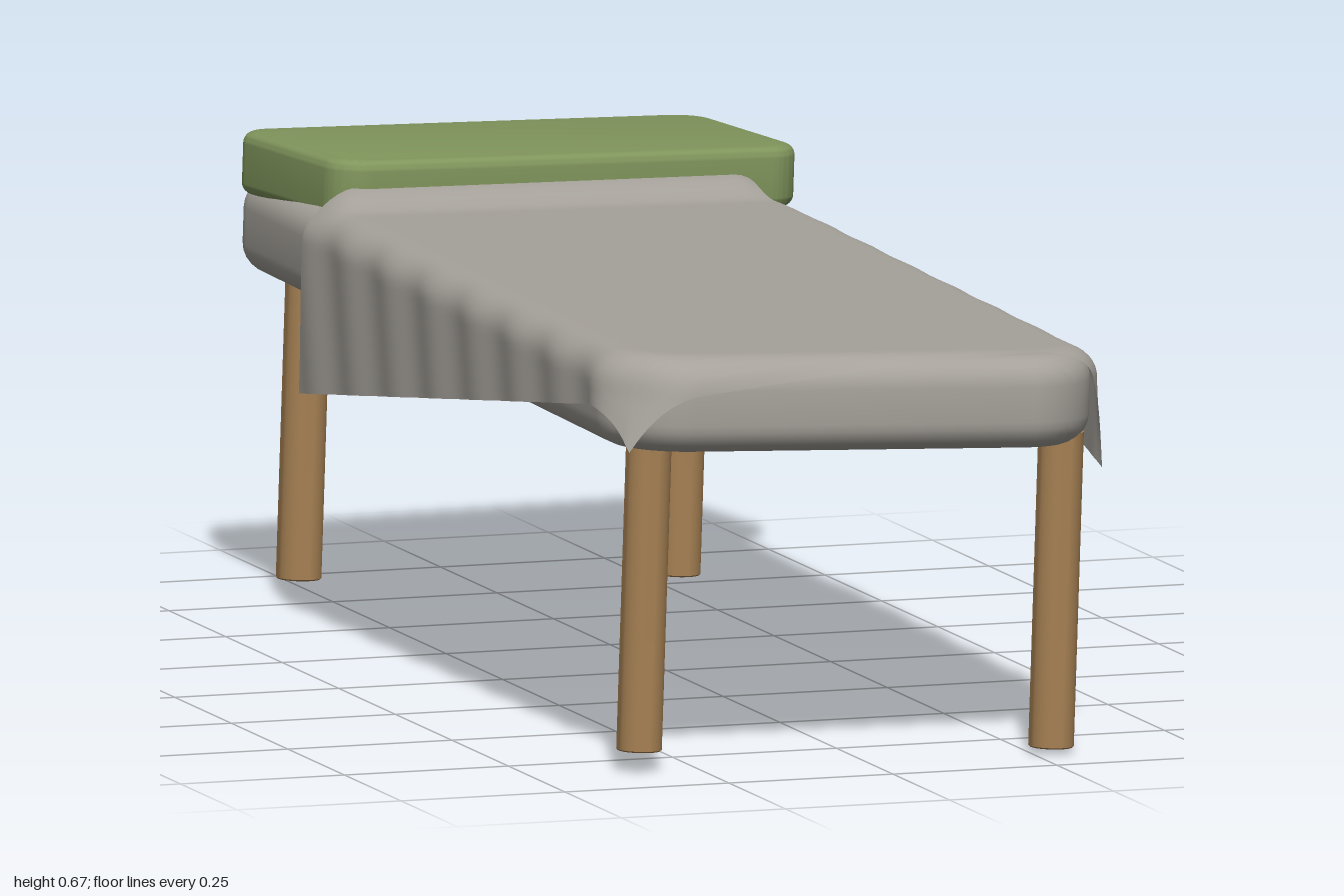
import * as THREE from 'three';
import { toCreasedNormals } from 'three/addons/utils/BufferGeometryUtils.js';

const HALF_X = 0.37, HALF_Z = 0.965, THICK = 0.135, CORNER = 0.12, SOFT = 0.042;
const MATTRESS_Y = 0.511;

const fabric = new THREE.MeshStandardMaterial({ name: 'grey fabric', color: 0xa6a29b, side: THREE.DoubleSide });
const green = new THREE.MeshStandardMaterial({ name: 'pillow green', color: 0x80955c });
const wood = new THREE.MeshStandardMaterial({ name: 'wood', color: 0xa58053 });

// Rounded slab lying flat, centred on the origin, with softened edges
function slab(hx, hz, thick, corner, soft) {
  const x = hx - soft, z = hz - soft, r = corner - soft;
  const s = new THREE.Shape();
  s.absarc(x - r, z - r, r, 0, Math.PI / 2);
  s.absarc(-x + r, z - r, r, Math.PI / 2, Math.PI);
  s.absarc(-x + r, -z + r, r, Math.PI, Math.PI * 1.5);
  s.absarc(x - r, -z + r, r, Math.PI * 1.5, Math.PI * 2);
  const depth = thick - 2 * soft;
  const g = new THREE.ExtrudeGeometry(s, {
    depth, bevelSize: soft, bevelThickness: soft, bevelSegments: 6, curveSegments: 10,
  });
  g.translate(0, 0, -depth / 2).rotateX(-Math.PI / 2);
  return toCreasedNormals(g, 0.7);
}

// Wrap a flat cloth point over the mattress: flat top, rounded edge, then hanging
function drape(px, pz) {
  const cx = THREE.MathUtils.clamp(px, -HALF_X + CORNER, HALF_X - CORNER);
  const cz = THREE.MathUtils.clamp(pz, -HALF_Z + CORNER, HALF_Z - CORNER);
  const dx = px - cx, dz = pz - cz, d = Math.hypot(dx, dz);
  const top = THICK / 2 + 0.006, bend = SOFT + 0.008;
  const start = CORNER + 0.006 - bend, over = d - start;
  if (over <= 0) return [px, top, pz];
  const a = Math.min(over / bend, Math.PI / 2);
  const hang = Math.max(0, over - bend * Math.PI / 2);
  const atCorner = Math.min(Math.abs(dx), Math.abs(dz)) / d;
  const ripple = 0.006 * Math.sin(a) * (0.5 + 0.5 * Math.sin(pz * 31 + px * 17));
  const out = start + bend * Math.sin(a) + hang * (0.06 + 0.35 * atCorner) + ripple;
  return [cx + dx / d * out, top - bend * (1 - Math.cos(a)) - hang, cz + dz / d * out];
}

// Cloth laid askew over the mattress
function sheetGeometry() {
  const width = 0.95, length = 1.55, yaw = 0.135;
  const c = Math.cos(yaw), s = Math.sin(yaw);
  const g = new THREE.PlaneGeometry(1, 1, 80, 110).rotateX(-Math.PI / 2);
  const p = g.attributes.position;
  for (let i = 0; i < p.count; i++) {
    const across = (0.5 - p.getX(i)) * width, along = (p.getZ(i) + 0.5) * length;
    const x = 0.321 - across * c + along * s;
    const z = -0.64 + across * s + along * c;
    const q = drape(x, z);
    // the back edge rides up against the pillow
    const lift = 1 - THREE.MathUtils.smoothstep(along, 0, 0.09);
    const onTop = 1 - THREE.MathUtils.smoothstep(Math.abs(x), 0.3, 0.37);
    p.setXYZ(i, q[0], q[1] + 0.026 * lift * onTop, q[2]);
  }
  g.computeVertexNormals();
  return g;
}

// Round leg with a small recess in its foot
function legGeometry() {
  const pts = [[0, 0.02], [0.014, 0.02], [0.014, 0], [0.031, 0], [0.033, 0.002], [0.033, 0.46], [0, 0.46]];
  const g = new THREE.LatheGeometry(pts.map(([x, y]) => new THREE.Vector2(x, y)), 32);
  return toCreasedNormals(g, 0.6);
}

export function createModel() {
  const model = new THREE.Group();
  model.name = 'bed';

  // The frame of the bed stands slightly turned and tilted
  const bed = new THREE.Group();
  bed.name = 'bedBody';
  bed.rotation.set(-0.005, -0.03, -0.035);
  bed.position.y = 0.0165;
  model.add(bed);

  const add = (parent, name, geometry, material, x, y, z) => {
    const m = new THREE.Mesh(geometry, material);
    m.name = name;
    m.position.set(x, y, z);
    parent.add(m);
    return m;
  };

  add(bed, 'mattress', slab(HALF_X, HALF_Z, THICK, CORNER, SOFT), fabric, -0.0175, MATTRESS_Y, 0);
  add(bed, 'sheet', sheetGeometry(), fabric, -0.0175, MATTRESS_Y, 0);

  // Legs
  const leg = legGeometry();
  const legs = {
    frontRightLeg: [-0.31, 0.86], frontLeftLeg: [0.307, 0.877],
    backRightLeg: [-0.295, -0.837], backLeftLeg: [0.275, -0.829],
  };
  for (const [name, [x, z]] of Object.entries(legs)) add(bed, name, leg, wood, x, 0, z);

  // Pillow, turned the other way
  const pillow = add(model, 'pillow', slab(0.375, 0.18, 0.09, 0.055, 0.016), green, 0.042, 0.615, -0.778);
  pillow.rotation.set(-0.005, 0.12, -0.038);

  return model;
}
